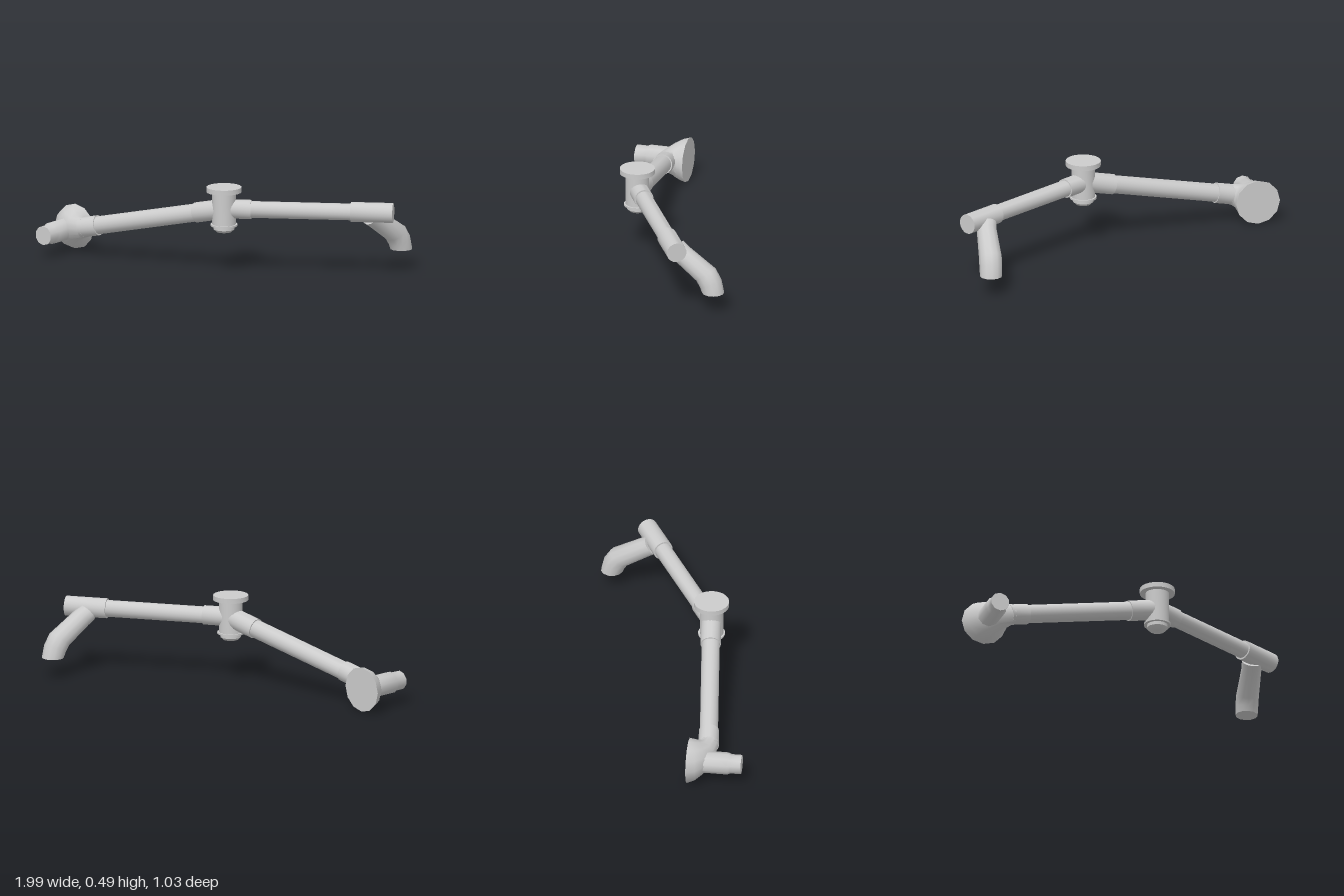
import * as THREE from 'three';
import { toCreasedNormals } from 'three/addons/utils/BufferGeometryUtils.js';

const V = (x, y, z) => new THREE.Vector3(x, y, z);
const material = new THREE.MeshStandardMaterial({ color: 0xcccccc });

function addPart(group, name, geometry) {
  const mesh = new THREE.Mesh(toCreasedNormals(geometry, 0.8), material);
  mesh.name = name;
  group.add(mesh);
  return mesh;
}

// Straight round bar between two points
function bar(group, name, from, to, radius) {
  const dir = to.clone().sub(from);
  const mesh = addPart(group, name, new THREE.CylinderGeometry(radius, radius, dir.length(), 18));
  mesh.position.copy(from).lerp(to, 0.5);
  mesh.quaternion.setFromUnitVectors(V(0, 1, 0), dir.normalize());
}

// Closed skin over circular rings; each ring is [centre, normal, radius]
function loft(rings, ref, sides) {
  const pos = [], index = [];
  for (const [centre, normal, radius] of rings) {
    const n = normal.clone().normalize();
    const u = ref.clone().addScaledVector(n, -ref.dot(n)).normalize();
    const v = n.clone().cross(u);
    for (let j = 0; j < sides; j++) {
      const a = (j / sides) * Math.PI * 2;
      const p = centre.clone().addScaledVector(u, radius * Math.cos(a)).addScaledVector(v, radius * Math.sin(a));
      pos.push(p.x, p.y, p.z);
    }
  }
  const last = rings.length - 1, start = rings.length * sides;
  pos.push(...rings[0][0].toArray(), ...rings[last][0].toArray());
  for (let j = 0; j < sides; j++) {
    const k = (j + 1) % sides;
    for (let i = 0; i < last; i++) {
      const a = i * sides + j, b = i * sides + k;
      index.push(a, b, b + sides, a, b + sides, a + sides);
    }
    index.push(start, k, j, start + 1, last * sides + j, last * sides + k);
  }
  const g = new THREE.BufferGeometry();
  g.setAttribute('position', new THREE.Float32BufferAttribute(pos, 3));
  g.setIndex(index);
  return g;
}

const lathe = (points, sides) =>
  new THREE.LatheGeometry(points.map(([r, y]) => new THREE.Vector2(r, y)), sides);

export function createModel() {
  const group = new THREE.Group();

  // Wall flange that bends round into the first arm
  const hub = V(0.15, 0.37, 0.205);
  const elbow = V(-0.735, 0.165, 0.312);
  const armDir = hub.clone().sub(elbow);
  addPart(group, 'wallFlange', loft([
    [V(-0.87, 0.135, 0.215), V(0, 0, 1), 0.127],
    [V(-0.86, 0.136, 0.25), V(0.13, 0, 1), 0.116],
    [V(-0.833, 0.14, 0.282), V(0.35, 0.03, 0.94), 0.096],
    [V(-0.79, 0.15, 0.308), V(0.7, 0.1, 0.7), 0.07],
    [elbow, armDir, 0.058],
  ], V(0, 1, 0), 12));

  // Inlet pipe, stepped near its end
  const inlet = addPart(group, 'inletPipe', lathe([
    [0, 0.22], [0.062, 0.22], [0.062, 0.44], [0.054, 0.455], [0.054, 0.515], [0, 0.515],
  ], 10));
  inlet.rotation.x = Math.PI / 2;
  inlet.position.set(-0.87, 0.135, 0);

  // First arm with a thicker sleeve at each end
  const along = (t) => elbow.clone().lerp(hub, t);
  bar(group, 'flangeSleeve', along(-0.02), along(0.1), 0.057);
  bar(group, 'firstArm', along(0.05), along(0.85), 0.051);
  bar(group, 'firstHubSleeve', along(0.8), hub, 0.057);

  // Swivel hub: bottom knob, collar, barrel and top cap
  const swivel = addPart(group, 'swivelHub', lathe([
    [0, 0.24], [0.042, 0.24], [0.058, 0.255], [0.058, 0.274], [0.075, 0.274], [0.075, 0.284],
    [0.066, 0.284], [0.066, 0.467], [0.098, 0.467], [0.098, 0.495], [0, 0.495],
  ], 24));
  swivel.position.set(0.15, 0, 0.2075);

  // Second arm and its sleeves
  const tip = V(0.97, 0.37, -0.265);
  const out = (t) => hub.clone().lerp(tip, t);
  bar(group, 'secondHubSleeve', hub, out(0.16), 0.054);
  bar(group, 'secondArm', out(0.1), out(0.8), 0.047);
  bar(group, 'spoutSleeve', out(0.75), tip, 0.056);

  // Spout curving down to a level outlet
  addPart(group, 'spout', loft([
    [V(0.845, 0.345, -0.225), V(0.12, -0.6, -0.78), 0.056],
    [V(0.855, 0.32, -0.26), V(0.12, -0.6, -0.78), 0.056],
    [V(0.88, 0.22, -0.408), V(0.105, -0.8, -0.6), 0.064],
    [V(0.886, 0.174, -0.437), V(0.066, -0.92, -0.38), 0.064],
    [V(0.889, 0.121, -0.452), V(0, -1, 0), 0.062],
  ], V(0.985, 0, 0.17), 12));

  // Stand the lowest point on y = 0
  group.position.y = -new THREE.Box3().setFromObject(group).min.y;
  return group;
}
